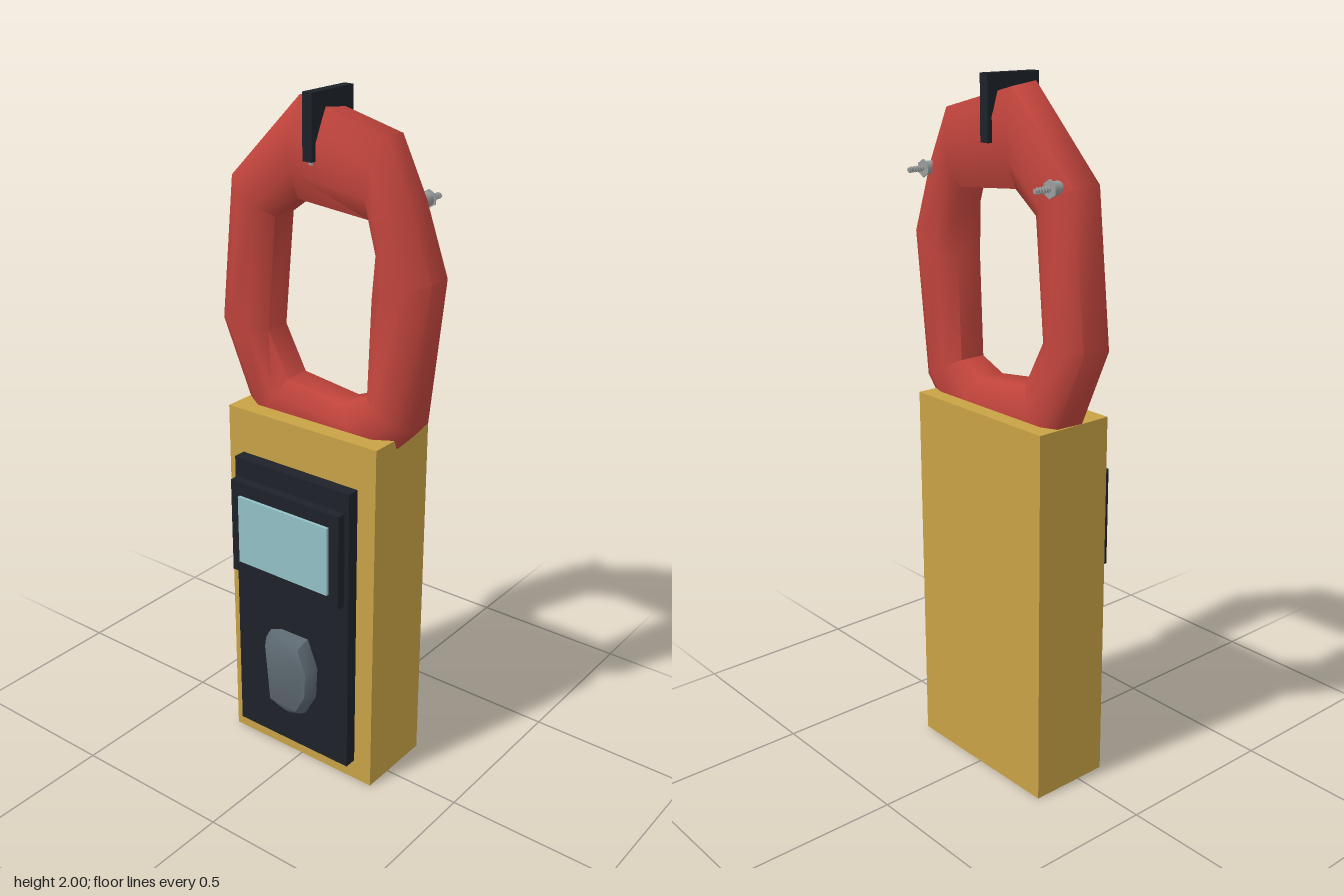
import * as THREE from 'three';
import { mergeVertices, toCreasedNormals } from 'three/addons/utils/BufferGeometryUtils.js';

const material = (color, side = THREE.FrontSide) => new THREE.MeshStandardMaterial({ color, side });
const YELLOW = material(0xc8a246);
const RED = material(0xc0443c);
const BLACK = material(0x1e2229);
const GLASS = material(0x92c0c6);
const SLATE = material(0x5c6870);
const STEEL = material(0x9a9d9d);

function add(parent, name, geometry, mat, x = 0, y = 0, z = 0) {
  const mesh = new THREE.Mesh(geometry, mat);
  mesh.name = name;
  mesh.position.set(x, y, z);
  parent.add(mesh);
  return mesh;
}

// Box given by its limits on each axis
function addBox(parent, name, mat, [x0, x1], [y0, y1], [z0, z1]) {
  const geometry = new THREE.BoxGeometry(x1 - x0, y1 - y0, z1 - z0);
  return add(parent, name, geometry, mat, (x0 + x1) / 2, (y0 + y1) / 2, (z0 + z1) / 2);
}

// Closed faceted loop: each section runs from an outer to an inner point
function jawGeometry() {
  // outer x, outer y, inner x, inner y, clockwise from the top
  const sections = [
    [-0.07, 1.98, -0.07, 1.71], [0.20, 1.91, 0.16, 1.69], [0.28, 1.75, 0.185, 1.6],
    [0.355, 1.55, 0.175, 1.48], [0.31, 1.13, 0.165, 1.2], [0.20, 1.0, 0.08, 1.165],
    [-0.22, 1.01, -0.11, 1.19], [-0.355, 1.32, -0.18, 1.32], [-0.31, 1.74, -0.15, 1.65],
  ];
  // share of the way from inner to outer, and depth
  const profile = [
    [1, -0.005], [0.96, -0.088], [0.72, -0.108], [0.3, -0.108],
    [0, -0.075], [0, 0.005], [0.28, 0.038], [0.66, 0.038],
  ];
  const points = [];
  const index = [];
  const n = sections.length;
  const m = profile.length;
  sections.forEach(([ox, oy, ix, iy], i) => {
    profile.forEach(([t, z], j) => {
      points.push(ix + (ox - ix) * t, iy + (oy - iy) * t, z);
      const a = i * m + j;
      const b = ((i + 1) % n) * m + j;
      const c = i * m + (j + 1) % m;
      const d = ((i + 1) % n) * m + (j + 1) % m;
      index.push(a, b, c, b, d, c);
    });
  });
  const geometry = new THREE.BufferGeometry();
  geometry.setAttribute('position', new THREE.Float32BufferAttribute(points, 3));
  geometry.setIndex(index);
  return toCreasedNormals(geometry, 1.1);
}

// Irregular knob that narrows towards its face
function knobGeometry() {
  const outline = [
    [-0.09, 0.42], [-0.08, 0.44], [-0.04, 0.455], [0.06, 0.457], [0.095, 0.37],
    [0.09, 0.27], [0.05, 0.195], [0, 0.178], [-0.07, 0.2],
  ].map(([x, y]) => new THREE.Vector2(x, y - 0.32));
  const depth = 0.04;
  const geometry = new THREE.ExtrudeGeometry(new THREE.Shape(outline), { depth, steps: 2, bevelEnabled: false });
  const p = geometry.attributes.position;
  for (let i = 0; i < p.count; i++) {
    const s = 1 - 0.18 * (p.getZ(i) / depth) ** 2;
    p.setXY(i, p.getX(i) * s, p.getY(i) * s);
  }
  geometry.deleteAttribute('normal');
  geometry.deleteAttribute('uv');
  return toCreasedNormals(mergeVertices(geometry), 0.9);
}

// Bolt pointing backwards: head, thin washer, shank and spiral thread
function makeBolt() {
  const bolt = new THREE.Group();
  const rod = (name, radius, z0, z1, sides) => {
    const geometry = new THREE.CylinderGeometry(radius, radius, z1 - z0, sides).rotateX(Math.PI / 2);
    add(bolt, name, geometry, STEEL, 0, 0, (z0 + z1) / 2);
  };
  rod('boltHead', 0.019, -0.122, -0.085, 16);
  rod('boltWasher', 0.025, -0.127, -0.123, 6);
  rod('boltShank', 0.006, -0.176, -0.12, 12);
  const turns = 5;
  const spiral = Array.from({ length: turns * 10 + 1 }, (_, i) => {
    const a = i / 10 * Math.PI * 2;
    return new THREE.Vector3(Math.cos(a) * 0.0065, Math.sin(a) * 0.0065, -0.127 - 0.047 * i / (turns * 10));
  });
  const thread = new THREE.TubeGeometry(new THREE.CatmullRomCurve3(spiral), 100, 0.0025, 5);
  add(bolt, 'boltThread', thread, STEEL);
  return bolt;
}

export function createModel() {
  const model = new THREE.Group();
  model.name = 'clampMeter';

  // Handle body with its front panel
  addBox(model, 'body', YELLOW, [-0.26, 0.26], [0, 1.1], [-0.156, 0.09]);
  addBox(model, 'frontPanel', BLACK, [-0.204, 0.204], [0.07, 0.97], [0.095, 0.133]);
  addBox(model, 'screenBezel', BLACK, [-0.193, 0.193], [0.62, 0.912], [0.138, 0.166]);
  addBox(model, 'screen', GLASS, [-0.16, 0.16], [0.66, 0.87], [0.166, 0.176]);
  add(model, 'selectorKnob', knobGeometry(), SLATE, 0, 0.32, 0.13);

  // Clamp ring with the clip over its top joint
  add(model, 'clampJaw', jawGeometry(), RED);
  addBox(model, 'jawClip', BLACK, [-0.015, 0.015], [1.825, 2], [-0.122, 0.054]);
  add(model, 'clipPin', new THREE.CylinderGeometry(0.009, 0.009, 0.09, 12), STEEL, 0, 1.86, 0.034);

  // Bolts on the back of the jaw
  for (const [name, side] of [['leftBolt', 1], ['rightBolt', -1]]) {
    const bolt = makeBolt();
    bolt.name = name;
    bolt.position.set(side * 0.257, 1.735, 0);
    model.add(bolt);
  }
  return model;
}
